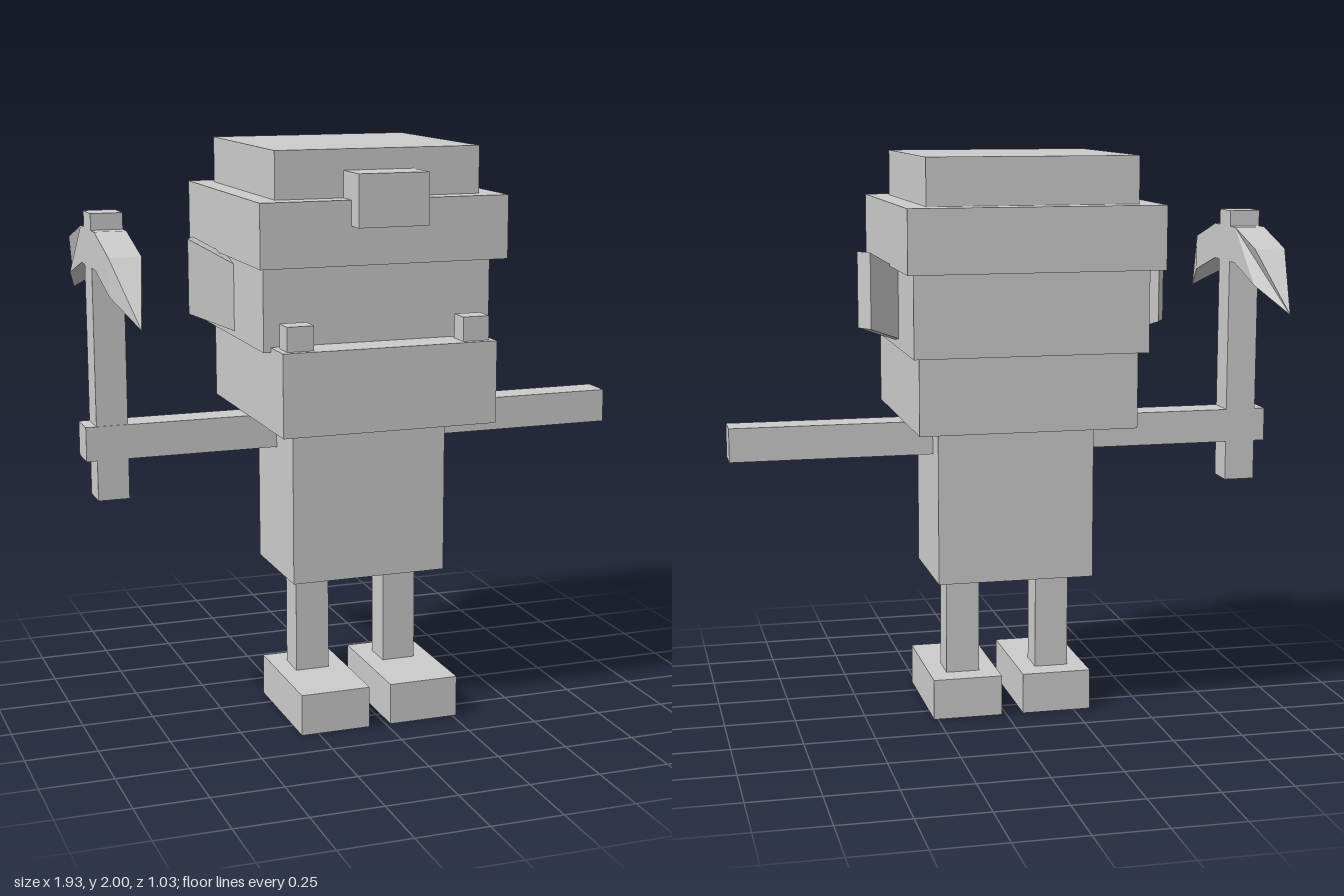
import * as THREE from 'three';

const material = new THREE.MeshStandardMaterial({ color: 0xcccccc, flatShading: true });
const AXIS = -0.0225; // centre line of the body, offset by the pickaxe side

export function createModel() {
  const model = new THREE.Group();
  model.name = 'blockMiner';

  const add = (name, geometry) => {
    const mesh = new THREE.Mesh(geometry, material);
    mesh.name = name;
    model.add(mesh);
    return mesh;
  };
  // box given by its extents on each axis
  const box = (name, [x0, x1], [y0, y1], [z0, z1]) =>
    add(name, new THREE.BoxGeometry(x1 - x0, y1 - y0, z1 - z0))
      .position.set((x0 + x1) / 2, (y0 + y1) / 2, (z0 + z1) / 2);
  // box centred on the body's centre line
  const centred = (name, width, y, z) => box(name, [AXIS - width / 2, AXIS + width / 2], y, z);

  // helmet, head and torso
  centred('helmetTop', 0.72, [1.84, 2], [-0.4, 0.32]);
  centred('helmetBrim', 0.87, [1.625, 1.84], [-0.475, 0.397]);
  centred('headLamp', 0.245, [1.755, 1.93], [0.3, 0.465]);
  centred('head', 0.805, [1.34, 1.625], [-0.395, 0.32]);
  centred('jaw', 0.755, [1.075, 1.357], [-0.35, 0.45]);
  centred('torso', 0.555, [0.51, 1.075], [-0.155, 0.24]);

  // arms
  box('leftArm', [0.255, 0.963], [0.957, 1.075], [-0.055, 0.058]);
  box('rightArm', [-0.97, -0.3], [0.957, 1.075], [-0.055, 0.058]);

  // mirrored parts
  for (const [side, s] of [['left', 1], ['right', -1]]) {
    const pair = (name, centre, width, y, z) => {
      const x = AXIS + s * centre;
      box(side + name, [x - width / 2, x + width / 2], y, z);
    };
    pair('Tusk', 0.31, 0.093, [1.357, 1.44], [0.35, 0.428]);
    pair('Leg', 0.164, 0.12, [0.145, 0.51], [-0.013, 0.1]);
    pair('Foot', 0.163, 0.248, [0, 0.145], [-0.098, 0.35]);

    // ear: slanted plate swept backwards
    const shape = new THREE.Shape([[0, 1.36], [0.161, 1.415], [0.161, 1.675], [0, 1.593]]
      .map(([x, y]) => new THREE.Vector2(s * x, y)));
    const geometry = new THREE.ExtrudeGeometry(shape, { depth: 0.07, bevelEnabled: false });
    geometry.translate(0, 0, -0.07);
    const ear = add(side + 'Ear', geometry);
    ear.rotation.y = s * Math.PI / 6;
    ear.position.set(AXIS + s * 0.4025, 0, -0.02);
  }

  // pickaxe handle
  box('pickaxeHandle', [-0.933, -0.825], [0.817, 1.79], [-0.055, 0.055]);

  // pickaxe head: bent bar whose ends are pinched to points
  const half = [[0.105, 1.735], [0.31, 1.675], [0.515, 1.47], [0.31, 1.55], [0.105, 1.61]];
  const outline = [
    ...half,
    ...half.map(([z, y]) => [-z, y]).reverse(),
  ].map(([z, y]) => new THREE.Vector2(z, y));
  const headGeometry = new THREE.ExtrudeGeometry(new THREE.Shape(outline), { depth: 0.108, bevelEnabled: false });
  headGeometry.translate(0, 0, -0.054);
  const p = headGeometry.attributes.position;
  for (let i = 0; i < p.count; i++) if (Math.abs(p.getX(i)) > 0.5) p.setZ(i, 0);
  headGeometry.rotateY(-Math.PI / 2);
  headGeometry.computeVertexNormals();
  add('pickaxeHead', headGeometry).position.x = -0.879;

  return model;
}
